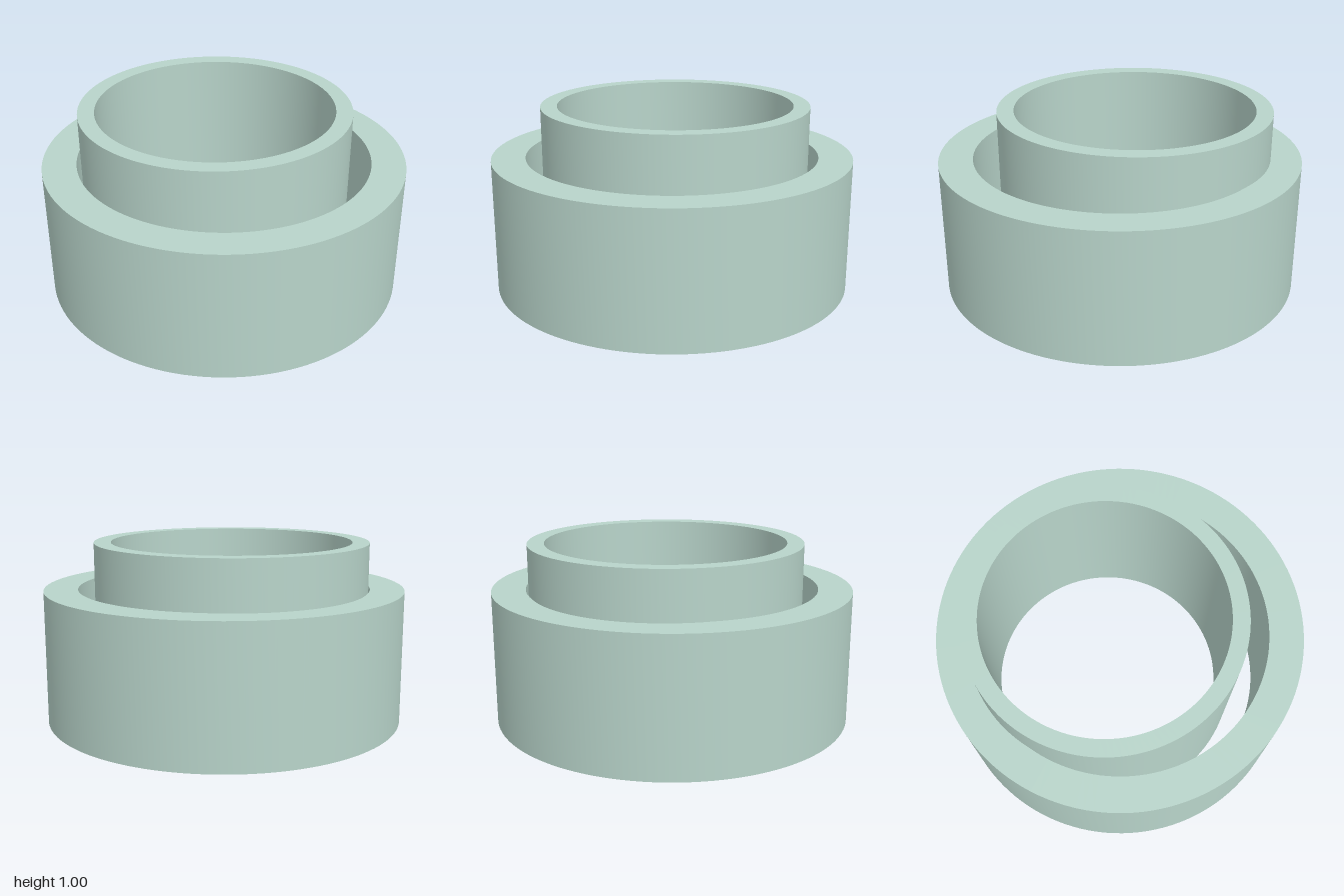
import * as THREE from 'three';
import { toCreasedNormals } from 'three/addons/utils/BufferGeometryUtils.js';

const material = new THREE.MeshStandardMaterial({ color: 0xb8d4ca });

// Square-edged tube standing on y = 0
function ring(name, outer, inner, height) {
  const profile = [
    [inner, 0], [outer, 0], [outer, height], [inner, height], [inner, 0],
  ].map(([r, y]) => new THREE.Vector2(r, y));
  const geometry = toCreasedNormals(new THREE.LatheGeometry(profile, 128), 0.6);
  const mesh = new THREE.Mesh(geometry, material);
  mesh.name = name;
  return mesh;
}

export function createModel() {
  const group = new THREE.Group();
  group.name = 'eccentricRings';

  // Wide, low outer ring
  group.add(ring('outerRing', 1, 0.813, 0.737));

  // Taller thin ring, set back so that it fuses with the outer wall
  const sleeve = ring('innerSleeve', 0.752, 0.66, 1);
  sleeve.position.z = -0.081;
  group.add(sleeve);

  return group;
}
